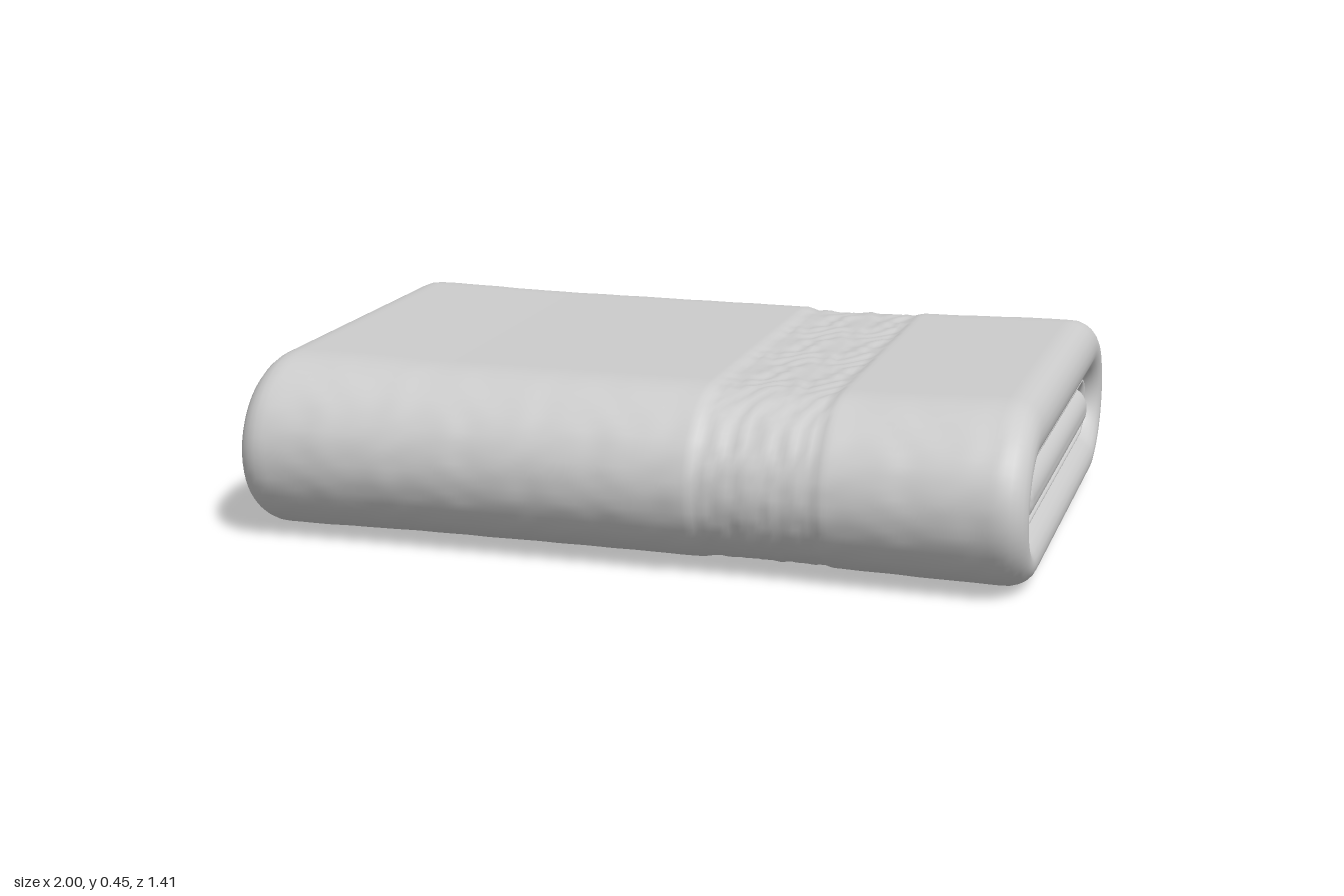
import * as THREE from 'three';
import { RoundedBoxGeometry } from 'three/addons/geometries/RoundedBoxGeometry.js';

const lerp = THREE.MathUtils.lerp;
const smooth = THREE.MathUtils.smoothstep;

// Stations around a flattened loop: s slides along the straight runs, a turns round the folds
function loopStations(straight, arc) {
  const out = [];
  for (const side of [1, -1]) {
    const start = side > 0 ? -Math.PI / 2 : Math.PI / 2;
    for (let i = 0; i < arc; i++) out.push({ s: side, a: start + Math.PI * i / arc });
    for (let i = 0; i < straight; i++) out.push({ s: side * (1 - 2 * i / straight), a: start + Math.PI });
  }
  return out;
}

// Closed cloth loop with rounded hems. outer/inner: straight half length, z radius, y radius, centre y
function foldedLayer(outer, inner, halfX, hem, steps, dent) {
  const section = [];
  const flat = halfX - hem;
  for (let i = 0; i < steps; i++) section.push([lerp(-flat, flat, i / steps), 0]);
  for (let i = 0; i <= 12; i++) {
    const t = Math.PI * i / 12;
    section.push([flat + hem * Math.sin(t), 0.5 - 0.5 * Math.cos(t)]);
  }
  for (let i = 1; i < 8; i++) section.push([lerp(flat, -flat, i / 8), 1]);
  for (let i = 0; i < 12; i++) {
    const t = Math.PI * i / 12;
    section.push([-flat - hem * Math.sin(t), 0.5 + 0.5 * Math.cos(t)]);
  }

  const stations = loopStations(48, 26);
  const n = section.length, m = stations.length;
  const pos = [], index = [];
  stations.forEach(({ s, a }, j) => {
    section.forEach(([x, depth], i) => {
      const at = (d) => {
        const [L, rz, ry, cy] = outer.map((v, k) => lerp(v, inner[k], d));
        return [cy + ry * Math.sin(a), s * L + rz * Math.cos(a)];
      };
      let [y, z] = at(depth);
      if (dent && depth === 0) [y, z] = at(dent(x, y, z, a) / 0.14);
      pos.push(x, y, z);
      const i2 = (i + 1) % n, j2 = (j + 1) % m;
      const p = j * n + i, q = j * n + i2, r = j2 * n + i2, t = j2 * n + i;
      index.push(p, q, r, p, r, t);
    });
  });
  const g = new THREE.BufferGeometry();
  g.setAttribute('position', new THREE.Float32BufferAttribute(pos, 3));
  g.setIndex(index);
  g.computeVertexNormals();
  return g;
}

// Inward relief: slight sag, the woven border band and soft lumps on the folds
function clothRelief(x, y, z, a) {
  const weave = Math.sin(x * 67 + 2 * Math.sin(z * 21 + y * 9)) *
    Math.sin(z * 59 + 2 * Math.sin(x * 41) + 1.5 * Math.sin(y * 50));
  const lumps = Math.sin(x * 23 + 2 * Math.sin(y * 31)) * Math.sin(y * 37 + 2 * Math.sin(x * 17 + z));
  const band = smooth(x, 0.19, 0.21) * (1 - smooth(x, 0.49, 0.51));
  const seam = [0.2, 0.29, 0.41, 0.5].reduce((v, c) => v + Math.exp(-(((x - c) / 0.008) ** 2)), 0);
  const turn = Math.abs(Math.cos(a));
  const sag = 0.007 * (1 - smooth(Math.abs(x), 0.5, 0.92));
  return sag + band * (0.004 + 0.0035 * (1 + weave)) + 0.002 * seam + 0.0025 * turn * (1 + lumps);
}

export function createModel() {
  const model = new THREE.Group();
  model.name = 'foldedTowel';
  const cloth = new THREE.MeshStandardMaterial({ color: 0xcccccc });
  cloth.name = 'light grey cloth';

  const add = (name, geometry, y = 0) => {
    const mesh = new THREE.Mesh(geometry, cloth);
    mesh.name = name;
    mesh.position.y = y;
    model.add(mesh);
  };

  // Thick outer wrap with the border band
  add('outerWrap', foldedLayer([0.45, 0.255, 0.226, 0.229], [0.5, 0.09, 0.085, 0.21], 1, 0.075, 150, clothRelief));
  // Thin fold tucked inside it
  add('innerFold', foldedLayer([0.48, 0.1, 0.081, 0.21], [0.48, 0.055, 0.066, 0.21], 0.965, 0.012, 8));
  // Rolled core in the middle
  add('core', new RoundedBoxGeometry(1.965, 0.12, 1.03, 8, 0.055), 0.21);
  return model;
}
